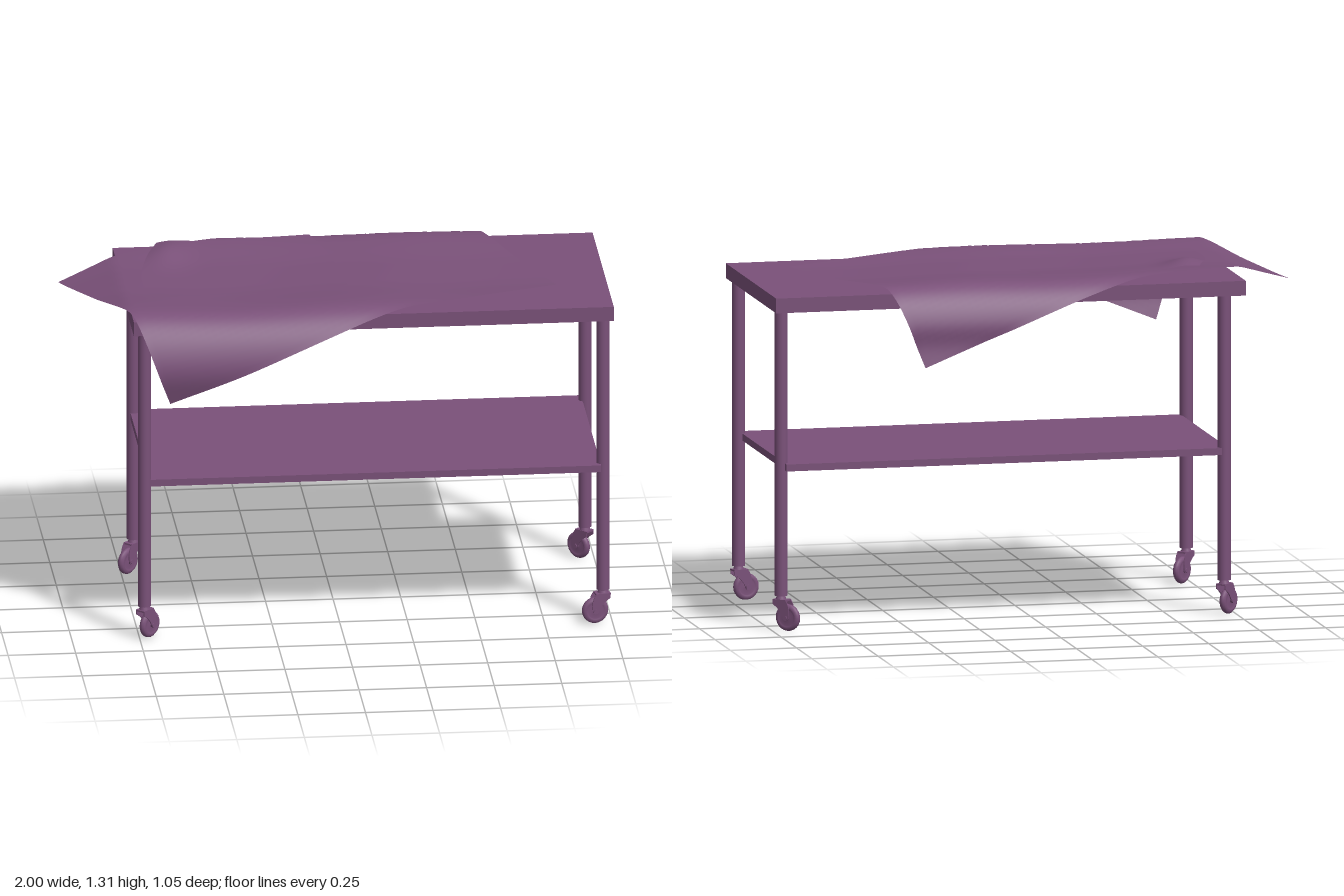
import * as THREE from 'three';

const V = (x, y, z) => new THREE.Vector3(x, y, z);

// Builds a sheet over a four-cornered patch; rule(u, v, x, z) gives each point
function sheet(name, corners, nu, nv, rule, material) {
  const geo = new THREE.PlaneGeometry(1, 1, nu, nv);
  const pos = geo.attributes.position;
  const uv = geo.attributes.uv;
  const [bl, br, fr, fl] = corners; // back left, back right, front right, front left
  const mix = THREE.MathUtils.lerp;
  for (let i = 0; i < pos.count; i++) {
    const u = uv.getX(i), v = 1 - uv.getY(i);
    const x = mix(mix(bl[0], br[0], u), mix(fl[0], fr[0], u), v);
    const z = mix(mix(bl[1], br[1], u), mix(fl[1], fr[1], u), v);
    pos.setXYZ(i, ...rule(u, v, x, z));
  }
  geo.computeVertexNormals();
  const mesh = new THREE.Mesh(geo, material);
  mesh.name = name;
  return mesh;
}

// Height of the cloth where it lies on the table, sagging past the left end
function lyingHeight(x, z) {
  const edge = THREE.MathUtils.smoothstep(Math.abs(z), 0.1, 0.36);
  const right = THREE.MathUtils.smoothstep(x, 0.1, 0.8);
  const ripple = 0.004 * Math.sin(7 * x + 3 * z) * (1 - right);
  return 1.269 + 0.012 * edge - 0.006 * right + ripple - 0.27 * Math.max(0, -0.79 - x);
}

// Cross-sections of the hanging sides, from the table top downwards (z, y)
const BEND = 0.36;
const hang = (pts) => new THREE.CatmullRomCurve3(pts.map(([z, y]) => V(0, y, z)));
const frontHang = hang([[0.36, 1.281], [0.41, 1.275], [0.46, 1.24], [0.505, 1.17], [0.527, 1.08], [0.5, 0.962]]);
const backHang = hang([[-0.36, 1.281], [-0.425, 1.272], [-0.48, 1.22], [-0.515, 1.13], [-0.512, 1.07], [-0.527, 0.98]]);

function drape(u, v, x, z) {
  const s = Math.abs(z) - BEND;
  const lying = lyingHeight(x, Math.sign(z) * Math.min(Math.abs(z), BEND));
  if (s <= 0) return [x, lying, z];
  const p = (z > 0 ? frontHang : backHang).getPointAt(Math.min(1, s / 0.387));
  const fade = Math.max(0, 1 - s / 0.15);
  return [x, p.y + (lying - 1.281) * fade, p.z];
}

export function createModel() {
  const model = new THREE.Group();
  const paint = new THREE.MeshStandardMaterial({ color: 0x7a5179 });
  const fabric = new THREE.MeshStandardMaterial({ color: 0x7a5179, side: THREE.DoubleSide });

  const add = (name, geo, x, y, z, parent = model) => {
    const mesh = new THREE.Mesh(geo, paint);
    mesh.name = name;
    mesh.position.set(x, y, z);
    parent.add(mesh);
    return mesh;
  };

  // Table top and lower shelf
  add('tableTop', new THREE.BoxGeometry(1.775, 0.055, 0.82), 0.1125, 1.2225, -0.01);
  add('lowerShelf', new THREE.BoxGeometry(1.67, 0.026, 0.775), 0.12, 0.612, -0.007);

  // Swivel caster, trailing along its own +x
  const fork = new THREE.Shape();
  fork.moveTo(-0.024, 0.116);
  fork.lineTo(0.03, 0.116);
  fork.quadraticCurveTo(0.052, 0.09, 0.042, 0.045);
  fork.quadraticCurveTo(0.032, 0.034, 0.022, 0.045);
  fork.quadraticCurveTo(0.01, 0.08, -0.024, 0.098);
  const forkGeo = new THREE.ExtrudeGeometry(fork, { depth: 0.004, bevelEnabled: false, curveSegments: 6 });
  const tyre = new THREE.LatheGeometry(
    [[0.008, -0.012], [0.03, -0.009], [0.033, -0.013], [0.043, -0.012], [0.049, -0.006],
      [0.05, 0], [0.049, 0.006], [0.043, 0.012], [0.033, 0.013], [0.03, 0.009], [0.008, 0.012]]
      .map(([r, y]) => new THREE.Vector2(r, y)), 24).rotateX(Math.PI / 2);
  const axleGeo = new THREE.CylinderGeometry(0.009, 0.009, 0.046, 12).rotateX(Math.PI / 2);

  function caster(x, z, dx, dz) {
    const g = new THREE.Group();
    g.name = 'caster';
    g.position.set(x, 0, z);
    g.rotation.y = Math.atan2(-dz, dx);
    add('wheel', tyre, 0.03, 0.05, 0, g);
    add('axle', axleGeo, 0.03, 0.05, 0, g);
    for (const s of [-1, 1]) add('forkSide', forkGeo, 0, 0, s * 0.018 - 0.002, g);
    add('forkCrown', new THREE.BoxGeometry(0.056, 0.006, 0.04), 0.003, 0.114, 0, g);
    add('swivel', new THREE.CylinderGeometry(0.015, 0.02, 0.016, 16), 0, 0.124, 0, g);
    model.add(g);
  }

  // Legs: position, then the direction in which the caster trails
  const legGeo = new THREE.CylinderGeometry(0.0245, 0.0245, 1.07, 20);
  const legs = [
    [0.965, 0.343, -1, 0.2],
    [0.965, -0.348, -0.7, -0.7],
    [-0.733, 0.367, 0.7, -0.7],
    [-0.704, -0.374, -0.7, 0.7],
  ];
  for (const [x, z, dx, dz] of legs) {
    add('leg', legGeo, x, 0.665, z);
    caster(x, z, dx, dz);
  }

  // Large cloth lying askew, hanging over the front and back edges
  model.add(sheet('drapedCloth', [[-1, -0.175], [0.46, -0.74], [0.81, 0.18], [-0.65, 0.747]],
    60, 48, drape, fabric));

  // Small cloth on top, with bowed sides and a puckered back-left corner
  model.add(sheet('smallCloth', [[-0.62, -0.33], [-0.05, -0.405], [0.04, 0.15], [-0.69, 0.24]],
    30, 30, (u, v, x, z) => {
      const bow = Math.sin(Math.PI * v) * ((1 - u) * -0.05 + u * 0.02);
      const pucker = 0.026 * Math.exp(-(((x + 0.57) / 0.07) ** 2) - ((z + 0.22) / 0.12) ** 2);
      return [x + bow, lyingHeight(x, z) + 0.007 + pucker, z];
    }, fabric));

  return model;
}
